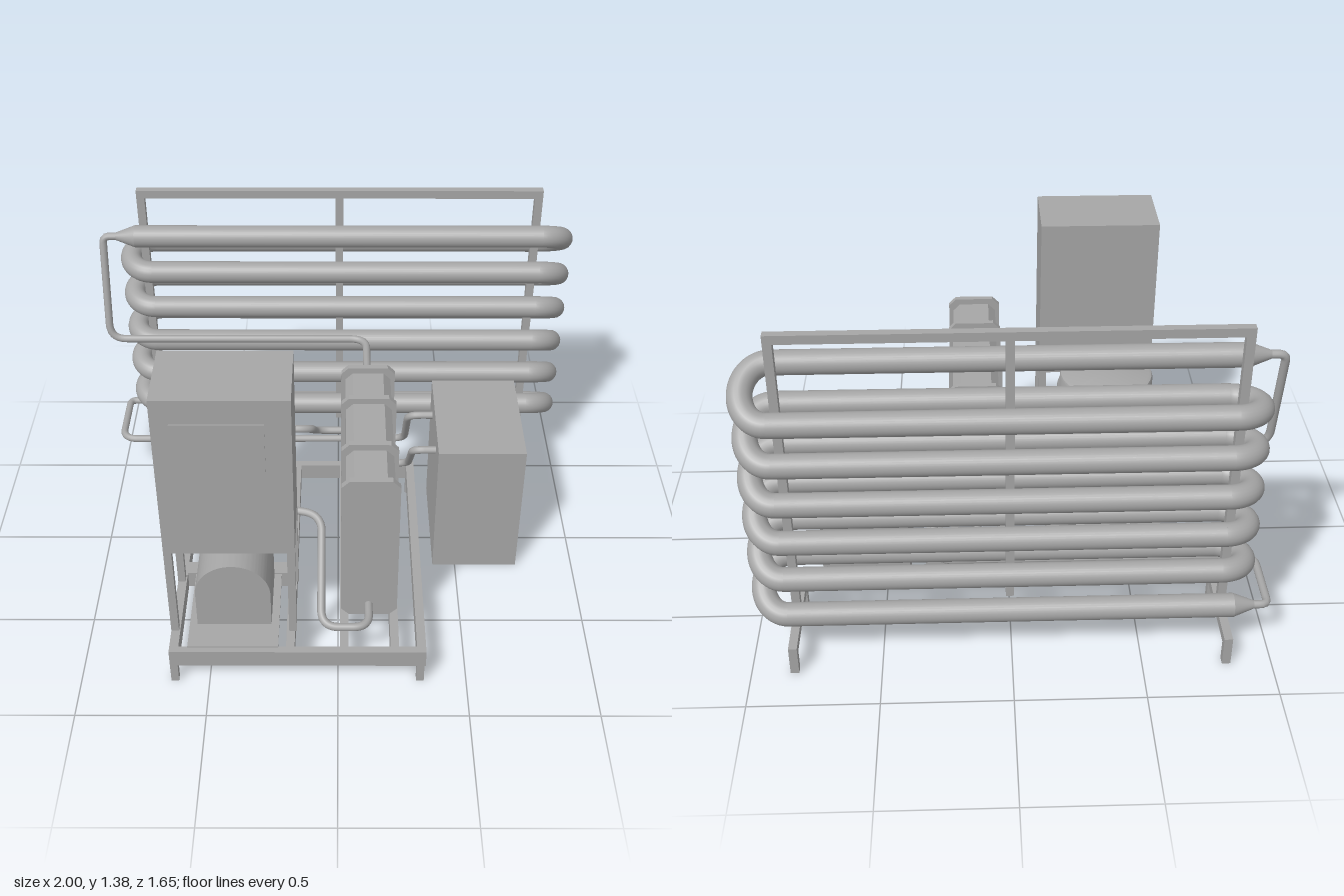
import * as THREE from 'three';
import { toCreasedNormals } from 'three/addons/utils/BufferGeometryUtils.js';

const V = (x, y, z) => new THREE.Vector3(x, y, z);

// Half circle in a plane tilted so that the pipe drops from one run to the next
class TiltedBend extends THREE.Curve {
  constructor(cx, side, from, to) {
    super();
    Object.assign(this, { cx, side, from, to });
  }
  getPoint(t, target = V(0, 0, 0)) {
    const k = (1 - Math.cos(Math.PI * t)) / 2;
    const r = Math.abs(this.from.z - this.to.z) / 2;
    return target.set(
      this.cx + this.side * r * Math.sin(Math.PI * t),
      THREE.MathUtils.lerp(this.from.y, this.to.y, k),
      THREE.MathUtils.lerp(this.from.z, this.to.z, k));
  }
}

// Polyline with rounded corners
function roundedPath(points, radius) {
  const path = new THREE.CurvePath();
  let start = points[0];
  for (let i = 1; i < points.length - 1; i++) {
    const p = points[i];
    const a = points[i - 1].clone().sub(p), b = points[i + 1].clone().sub(p);
    const r = Math.min(radius, a.length() * 0.45, b.length() * 0.45);
    const inP = p.clone().addScaledVector(a.normalize(), r);
    const outP = p.clone().addScaledVector(b.normalize(), r);
    path.add(new THREE.LineCurve3(start, inP));
    path.add(new THREE.QuadraticBezierCurve3(inP, p, outP));
    start = outP;
  }
  path.add(new THREE.LineCurve3(start, points[points.length - 1]));
  return path;
}

export function createModel() {
  const model = new THREE.Group();
  model.name = 'refrigerationUnit';
  const grey = new THREE.MeshStandardMaterial({ color: 0xa6a6a6 });
  grey.name = 'grey metal';

  const group = (name) => {
    const g = new THREE.Group();
    g.name = name;
    model.add(g);
    return g;
  };
  const add = (parent, name, geometry) => {
    const mesh = new THREE.Mesh(geometry, grey);
    mesh.name = name;
    parent.add(mesh);
    return mesh;
  };
  // Box given by its low and high corners
  const box = (parent, name, x0, x1, y0, y1, z0, z1) => {
    const m = add(parent, name, new THREE.BoxGeometry(x1 - x0, y1 - y0, z1 - z0));
    m.position.set((x0 + x1) / 2, (y0 + y1) / 2, (z0 + z1) / 2);
    return m;
  };
  // Cylinder along x or z
  const rod = (parent, name, axis, a, b, rA, rB, u, y) => {
    const geo = new THREE.CylinderGeometry(rB, rA, b - a, 32);
    if (axis === 'z') geo.rotateX(Math.PI / 2).translate(u, y, (a + b) / 2);
    else geo.rotateZ(-Math.PI / 2).translate((a + b) / 2, y, u);
    return add(parent, name, geo);
  };
  const pipe = (name, ...pts) => {
    const path = roundedPath(pts.map((p) => V(...p)), 0.07);
    return add(pipes, name, new THREE.TubeGeometry(path, 140, 0.016, 12));
  };

  // Base frame with corner legs, long beams and cross members
  const base = group('baseFrame');
  const y0 = 0.085, y1 = 0.16;
  for (const x of [-0.65, 0.305]) {
    box(base, 'sideRail', x, x + 0.035, y0, y1, -0.335, 0.825);
    for (const z of [-0.335, 0.795]) box(base, 'leg', x, x + 0.03, 0, y0, z, z + 0.03);
  }
  for (const z of [-0.335, 0.795]) box(base, 'endRail', -0.615, 0.305, y0, y1, z, z + 0.03);
  for (const x of [-0.2, 0.008, 0.203]) box(base, 'longBeam', x, x + 0.033, y0, y1, -0.305, 0.795);
  for (const z of [-0.165, 0.125]) box(base, 'crossBeam', -0.615, -0.2, y0, y1, z, z + 0.033);
  box(base, 'wideCrossBeam', -0.615, -0.2, y0, y1, 0.325, 0.39);
  box(base, 'motorPlate', -0.58, -0.23, 0.155, 0.164, 0.4, 0.8);

  // Control cabinet on four posts
  const cabinet = group('controlCabinet');
  box(cabinet, 'cabinetBody', -0.65, -0.16, 0.57, 1.275, 0.41, 0.713);
  box(cabinet, 'cabinetPanel', -0.585, -0.255, 0.925, 1.175, 0.712, 0.718);
  for (const x of [-0.65, -0.19])
    for (const z of [0.41, 0.683]) box(cabinet, 'cabinetPost', x, x + 0.03, y1, 0.57, z, z + 0.03);

  // Arched motor with pump neck and flanges
  const motor = group('motorAndPump');
  const arch = new THREE.Shape();
  arch.moveTo(-0.145, 0.162);
  arch.lineTo(0.145, 0.162);
  arch.lineTo(0.145, 0.325);
  arch.absarc(0, 0.325, 0.145, 0, Math.PI, false);
  arch.closePath();
  const archGeo = new THREE.ExtrudeGeometry(arch, { depth: 0.275, bevelEnabled: false, curveSegments: 32 });
  add(motor, 'motorHousing', toCreasedNormals(archGeo, 0.5)).position.set(-0.405, 0, 0.405);
  rod(motor, 'motorFlange', 'z', 0.38, 0.406, 0.133, 0.133, -0.405, 0.325);
  rod(motor, 'pumpNeck', 'z', 0.33, 0.381, 0.062, 0.062, -0.405, 0.325);
  rod(motor, 'pumpBody', 'z', 0.285, 0.335, 0.095, 0.095, -0.405, 0.325);
  rod(motor, 'pumpFlange', 'z', 0.262, 0.288, 0.115, 0.115, -0.405, 0.325);

  // Round tank on four legs
  const tank = group('tank');
  const profile = [[0, 0.375], [0.187, 0.375], [0.187, 0.815], [0.183, 0.825], [0.172, 0.83], [0, 0.83]]
    .map(([r, y]) => new THREE.Vector2(r, y));
  add(tank, 'tankShell', toCreasedNormals(new THREE.LatheGeometry(profile, 48), 0.6))
    .position.set(-0.405, 0, -0.01);
  for (const x of [-0.55, -0.29])
    for (const z of [-0.16, 0.115]) box(tank, 'tankLeg', x, x + 0.03, y0, 0.4, z, z + 0.03);

  // Heat exchanger: chamfered block wrapped by four bands
  const exchanger = group('heatExchanger');
  const slab = (name, half, low, high, z0, z1) => {
    const c = 0.03, s = new THREE.Shape();
    s.setFromPoints([
      [-half + c, low], [half - c, low], [half, low + c], [half, high - c],
      [half - c, high], [-half + c, high], [-half, high - c], [-half, low + c],
    ].map(([x, y]) => new THREE.Vector2(x, y)));
    const geo = new THREE.ExtrudeGeometry(s, { depth: z1 - z0, bevelEnabled: false });
    add(exchanger, name, geo).position.set(0.122, 0, z0);
  };
  slab('exchangerBody', 0.092, 0.172, 0.815, -0.11, 0.61);
  for (const z of [-0.125, 0.085, 0.38, 0.596]) slab('exchangerBand', 0.11, 0.16, 0.84, z, z + 0.025);

  // Free-standing box
  box(model, 'equipmentBox', 0.405, 0.76, 0, 0.61, -0.335, 0.17);

  // Stand that holds the coil
  const stand = group('coilStand');
  for (const x of [-0.842, 0.818]) {
    box(stand, 'standPost', x, x + 0.033, 0.12, 1.345, -0.64, -0.608);
    box(stand, 'standFoot', x, x + 0.033, 0.085, 0.123, -0.83, -0.42);
    for (const z of [-0.83, -0.453]) box(stand, 'standLeg', x, x + 0.033, 0, 0.085, z, z + 0.033);
  }
  box(stand, 'topBar', -0.842, 0.851, 1.345, 1.38, -0.64, -0.608);
  box(stand, 'middlePost', -0.012, 0.02, 0.2, 1.345, -0.64, -0.608);

  // Flattened coil of six turns
  const coil = group('coil');
  const R = 0.046, front = -0.53, back = -0.73, turns = 6, pitch = 0.173, drop = 0.135;
  const bend = (name, cx, side, from, to) =>
    add(coil, name, new THREE.TubeGeometry(new TiltedBend(cx, side, from, to), 28, R, 20));
  for (let i = 0; i < turns; i++) {
    const yF = 1.21 - i * pitch, yB = yF - drop;
    rod(coil, 'frontRun', 'x', i === 0 ? -0.85 : -0.79, 0.85, R, R, front, yF);
    rod(coil, 'backRun', 'x', i === turns - 1 ? -0.85 : -0.79, 0.85, R, R, back, yB);
    bend('rightBend', 0.85, 1, V(0, yF, front), V(0, yB, back));
    if (i < turns - 1) bend('leftBend', -0.79, -1, V(0, yB, back), V(0, yF - pitch, front));
  }
  rod(coil, 'inletReducer', 'x', -0.93, -0.85, 0.016, R, front, 1.21);
  rod(coil, 'outletReducer', 'x', -0.93, -0.85, 0.016, R, back, 0.21);

  // Thin connecting pipes
  const pipes = group('pipes');
  pipe('coilToExchangerPipe', [-0.92, 1.21, front], [-0.985, 1.21, front], [-0.985, 0.76, -0.435],
    [0.12, 0.76, -0.435], [0.12, 0.76, -0.12]);
  pipe('coilToBoxPipe', [-0.92, 0.21, back], [-0.985, 0.21, back], [-0.985, 0.21, -0.435],
    [0.3, 0.215, -0.435], [0.3, 0.51, -0.22], [0.42, 0.51, -0.22]);
  pipe('boxToExchangerPipe', [0.42, 0.51, 0.02], [0.31, 0.51, 0.02], [0.31, 0.215, -0.255],
    [0.12, 0.215, -0.255], [0.12, 0.215, -0.12]);
  pipe('tankToExchangerPipe', [-0.24, 0.62, 0.02], [-0.105, 0.62, 0.02], [-0.105, 0.4, -0.255],
    [0.12, 0.4, -0.255], [0.12, 0.4, -0.12]);
  pipe('tankToExchangerFrontPipe', [-0.405, 0.45, 0.16], [-0.405, 0.45, 0.27], [-0.065, 0.45, 0.36],
    [-0.065, 0.215, 0.745], [0.12, 0.215, 0.745], [0.12, 0.215, 0.6]);

  return model;
}
